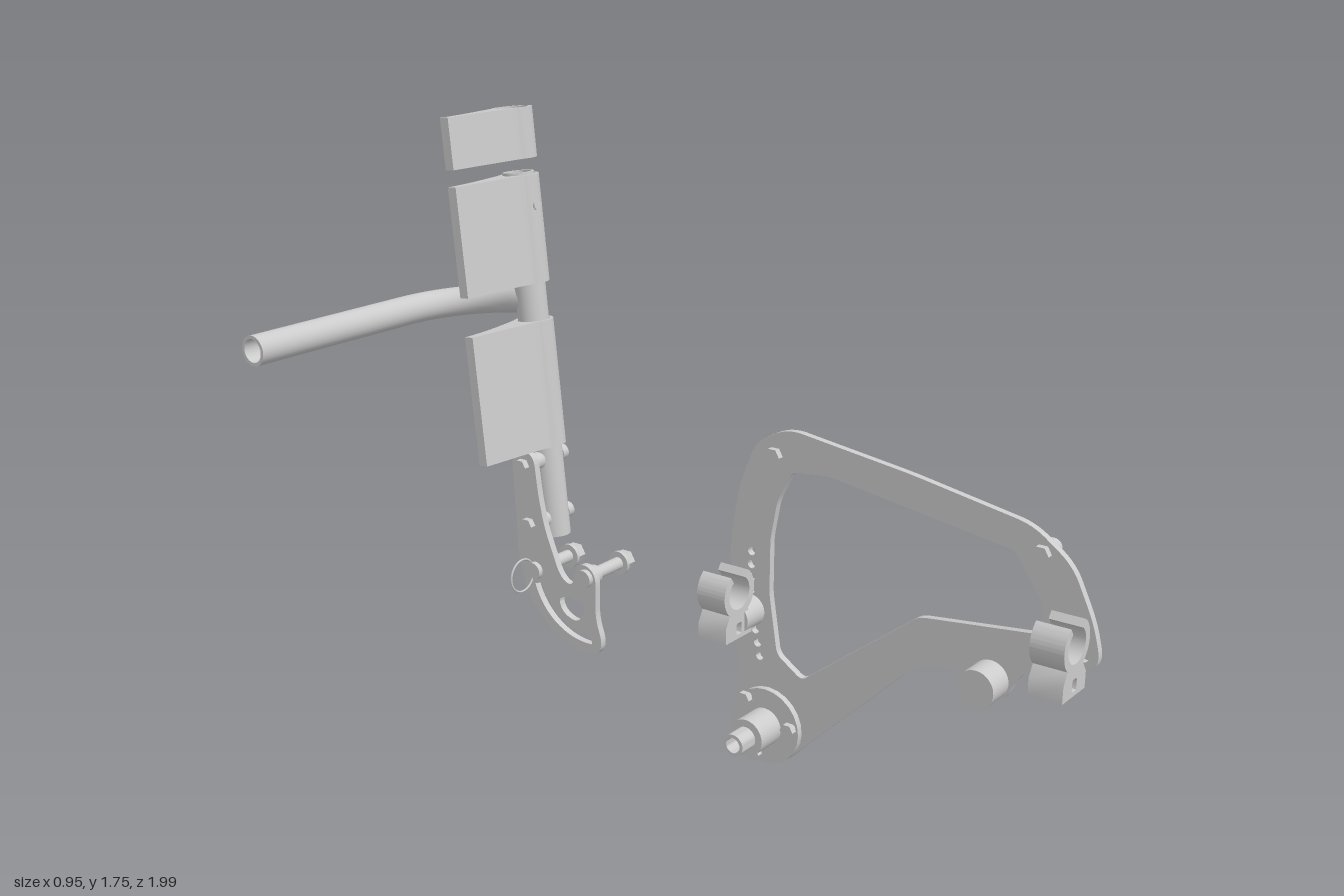
import * as THREE from 'three';
import { toCreasedNormals } from 'three/addons/utils/BufferGeometryUtils.js';

const mat = new THREE.MeshStandardMaterial({ color: 0xcccccc, side: THREE.DoubleSide });

function add(parent, geo, name) {
  const m = new THREE.Mesh(geo, mat);
  m.name = name;
  parent.add(m);
  return m;
}

// Closed polygon with every corner rounded by up to r
function rounded(pts, r, Type = THREE.Shape) {
  const s = new Type(), v = pts.map(p => new THREE.Vector2(...p)), n = v.length;
  v.forEach((p, i) => {
    const cut = q => {
      const d = q.clone().sub(p), l = d.length();
      return p.clone().addScaledVector(d, Math.min(r, l * 0.48) / l);
    };
    const a = cut(v[(i + n - 1) % n]), b = cut(v[(i + 1) % n]);
    if (i) s.lineTo(a.x, a.y); else s.moveTo(a.x, a.y);
    s.quadraticCurveTo(p.x, p.y, b.x, b.y);
  });
  s.closePath();
  return s;
}

function hole(x, y, r) {
  const p = new THREE.Path();
  p.absarc(x, y, r, 0, Math.PI * 2, true);
  return p;
}

function extrude(shape, depth, bevel = 0) {
  return toCreasedNormals(new THREE.ExtrudeGeometry(shape, {
    depth, curveSegments: 12, bevelEnabled: bevel > 0, bevelSize: bevel,
    bevelThickness: bevel, bevelOffset: -bevel, bevelSegments: 2 }), 0.6);
}

// Flat plate drawn in (z, y) between two x positions
function plate(parent, shape, x0, x1, name) {
  const g = extrude(shape, x1 - x0);
  g.rotateY(-Math.PI / 2);
  g.translate(x1, 0, 0);
  return add(parent, g, name);
}

// Cylinder along x
function rod(parent, x0, x1, y, z, r, name, sides = 24) {
  const g = new THREE.CylinderGeometry(r, r, x1 - x0, sides);
  g.rotateZ(Math.PI / 2);
  g.translate((x0 + x1) / 2, y, z);
  return add(parent, sides < 8 ? toCreasedNormals(g, 0.5) : g, name);
}

// Hollow tube along x or y: ring extruded
const ring = (ro, ri) => {
  const s = new THREE.Shape();
  s.absarc(0, 0, ro, 0, Math.PI * 2, false);
  s.holes.push(hole(0, 0, ri));
  return s;
};

function bolt(parent, x0, x1, y, z, r, name) {
  const g = new THREE.Group();
  g.name = name;
  rod(g, x0, x1 - 0.005, y, z, r * 0.5, 'boltShaft', 16);
  rod(g, x0, x0 + 0.018, y, z, r * 0.95, 'boltNut', 6);
  rod(g, x1 - 0.022, x1, y, z, r, 'boltHead');
  parent.add(g);
}

function sideFrame() {
  const g = new THREE.Group();
  g.name = 'sideFrame';
  // Side plate with a large window and adjustment holes
  const s = rounded([[0.09, 0.975], [-0.01, 0.925], [-0.06, 0.80], [-0.088, 0.65], [-0.088, 0.52],
    [-0.07, 0.335], [-0.052, 0.25], [-0.07, 0.14], [-0.06, 0.055], [0, 0], [0.09, 0], [0.155, 0.07],
    [0.495, 0.41], [0.59, 0.44], [0.66, 0.415], [0.69, 0.38], [0.75, 0.38], [0.785, 0.46],
    [0.84, 0.505], [0.955, 0.515], [1.0, 0.55], [0.975, 0.65], [0.91, 0.785], [0.80, 0.865], [0.46, 0.925]], 0.045);
  s.holes.push(rounded([[0.755, 0.79], [0.84, 0.67], [0.84, 0.59], [0.50, 0.55], [0.15, 0.275], [0.068, 0.33],
    [0.04, 0.50], [0.04, 0.66], [0.06, 0.77], [0.105, 0.86], [0.22, 0.87]], 0.02, THREE.Path));
  for (let i = 0; i < 9; i++) {
    if (i !== 4) s.holes.push(hole(i < 4 ? -0.02 : -0.02 + (i - 4) * 0.008, 0.61 - i * 0.0375, 0.012));
  }
  s.holes.push(hole(0.955, 0.56, 0.013), hole(0.72, 0.435, 0.013));
  plate(g, s, 0.4, 0.42, 'sidePlate');

  // Plate bolts
  for (const [z, y] of [[0.83, 0.80], [0.05, 0.895]]) bolt(g, 0.382, 0.455, y, z, 0.025, 'frameBolt');
  bolt(g, 0.36, 0.445, 0.46, -0.02, 0.024, 'clipBolt');
  for (const [z, y] of [[0.135, 0.135], [-0.01, 0.19], [0.025, 0.035]]) bolt(g, 0.352, 0.44, y, z, 0.022, 'axleBolt');

  // Axle housing
  const flange = new THREE.Shape();
  flange.absarc(0.045, 0.115, 0.11, 0, Math.PI * 2, false);
  plate(g, flange, 0.382, 0.4, 'axleFlange');
  rod(g, 0.29, 0.4, 0.115, 0.045, 0.053, 'axleHousing', 32);
  const sleeve = extrude(ring(0.032, 0.022), 0.25);
  sleeve.rotateY(Math.PI / 2);
  sleeve.translate(0.23, 0.115, 0.045);
  add(g, sleeve, 'axleSleeve');
  const nut = new THREE.Shape();
  for (let i = 0; i < 6; i++) {
    const a = i * Math.PI / 3;
    nut[i ? 'lineTo' : 'moveTo'](0.045 + 0.05 * Math.cos(a), 0.115 + 0.05 * Math.sin(a));
  }
  nut.holes.push(hole(0.045, 0.115, 0.025));
  rod(g, 0.42, 0.435, 0.115, 0.045, 0.058, 'axleWasher', 32);
  plate(g, nut, 0.435, 0.47, 'axleNut');

  // Front spacer and the clip spacer
  rod(g, 0.32, 0.4, 0.435, 0.71, 0.052, 'frontSpacer', 32);
  rod(g, 0.32, 0.4, 0.44, -0.02, 0.045, 'clipSpacer', 32);

  // Snap clips: open ring on a foot
  const c = new THREE.Shape(), gap = 0.62;
  c.moveTo(-0.06, 0);
  c.lineTo(0.06, 0);
  c.lineTo(0.06, 0.045);
  c.lineTo(0.04, 0.075);
  c.absarc(0, 0.13, 0.068, -0.9, Math.PI / 2 - gap, false);
  c.absarc(0, 0.13, 0.046, Math.PI / 2 - gap, Math.PI / 2 + gap, true);
  c.absarc(0, 0.13, 0.068, Math.PI / 2 + gap, Math.PI + 0.9, false);
  c.lineTo(-0.06, 0.045);
  c.closePath();
  c.holes.push(rounded([[-0.012, 0.012], [0.012, 0.012], [0.012, 0.045], [-0.012, 0.045]], 0.008, THREE.Path));
  for (const [y, z] of [[0.505, 0.893], [0.4, -0.075]]) {
    add(g, extrude(c, 0.09), 'snapClip').position.set(0.295, y, z);
  }
  return g;
}

function backPost() {
  // Local y runs up the reclined post
  const g = new THREE.Group();
  g.name = 'backPost';
  g.position.set(0.3, 0.555, -0.63);
  g.rotation.x = -0.105;
  const tube = extrude(ring(0.043, 0.035), 1.025);
  tube.rotateX(-Math.PI / 2);
  add(g, tube, 'postTube');

  // Upholstery sleeves with a flap tapering inward
  const s = new THREE.Shape();
  s.moveTo(-0.262, -0.014);
  s.bezierCurveTo(-0.17, -0.026, -0.1, -0.03, -0.03, -0.046);
  s.absarc(0, 0, 0.055, -2.15, 2.15, false);
  s.bezierCurveTo(-0.1, 0.03, -0.17, 0.012, -0.262, 0.014);
  s.closePath();
  s.holes.push(hole(0, 0, 0.045));
  for (const [y0, y1] of [[0.265, 0.62], [0.725, 1.018], [1.062, 1.197]]) {
    const b = extrude(s, y1 - y0);
    b.rotateX(-Math.PI / 2);
    b.translate(0, y0, 0);
    add(g, b, 'upholsterySleeve');
  }

  // Screws fixing the upholstery from behind
  for (const y of [0.935, 1.125]) {
    const k = new THREE.CylinderGeometry(0.018, 0.022, 0.022, 20);
    k.rotateX(-Math.PI / 2);
    add(g, k, 'upholsteryScrew').position.set(0, y, -0.06);
  }
  const end = new THREE.CylinderGeometry(0.014, 0.014, 0.01, 16);
  end.rotateX(Math.PI / 2);
  add(g, end, 'screwEnd').position.set(0, 0.935, 0.053);
  return g;
}

function pushHandle() {
  // Bent tube leaving the post rearward and running inward
  const V = (x, y, z) => new THREE.Vector3(x, y, z);
  const path = new THREE.CurvePath();
  path.add(new THREE.LineCurve3(V(0.3, 1.228, -0.7), V(0.297, 1.222, -0.76)));
  path.add(new THREE.CubicBezierCurve3(V(0.297, 1.222, -0.76), V(0.285, 1.208, -0.88), V(0.2, 1.2, -0.96), V(0.07, 1.2, -0.96)));
  path.add(new THREE.LineCurve3(V(0.07, 1.2, -0.96), V(-0.475, 1.2, -0.96)));
  const g = new THREE.Group();
  g.name = 'pushHandle';
  add(g, new THREE.TubeGeometry(path, 60, 0.04, 24), 'handleTube');
  const rim = new THREE.RingGeometry(0.031, 0.04, 24);
  rim.rotateY(-Math.PI / 2);
  add(g, rim, 'handleRim').position.set(-0.475, 1.2, -0.96);
  const bore = new THREE.CylinderGeometry(0.031, 0.031, 0.4, 24, 1, true);
  bore.rotateZ(Math.PI / 2);
  add(g, bore, 'handleBore').position.set(-0.275, 1.2, -0.96);
  return g;
}

function recliner() {
  const g = new THREE.Group();
  g.name = 'reclineBracket';
  const cz = -0.437, cy = 0.495;
  // Curved bracket with a window and an arc slot around the pivot
  const s = rounded([[-0.62, 0.815], [-0.605, 0.70], [-0.585, 0.61], [-0.53, 0.475], [-0.485, 0.455], [-0.475, 0.52],
    [-0.44, 0.535], [-0.402, 0.51], [-0.405, 0.38], [-0.38, 0.31], [-0.40, 0.27], [-0.49, 0.27], [-0.58, 0.315],
    [-0.655, 0.40], [-0.685, 0.51], [-0.69, 0.64], [-0.70, 0.80], [-0.67, 0.82]], 0.035);
  s.holes.push(rounded([[-0.435, 0.415], [-0.54, 0.42], [-0.525, 0.37], [-0.465, 0.35]], 0.03, THREE.Path));
  const slot = new THREE.Path(), a0 = Math.PI * 1.10, a1 = Math.PI * 1.53, R = 0.185;
  const N = 48;
  for (let i = 0; i <= N; i++) {
    const a = a0 + (a1 - a0) * i / N, r = R + 0.011;
    slot[i ? 'lineTo' : 'moveTo'](cz + r * Math.cos(a), cy + r * Math.sin(a));
  }
  // Inner edge is scalloped into indexing notches
  for (let i = N; i >= 0; i--) {
    const a = a0 + (a1 - a0) * i / N, r = R - 0.009 - 0.007 * Math.abs(Math.sin(i / N * Math.PI * 6));
    slot.lineTo(cz + r * Math.cos(a), cy + r * Math.sin(a));
  }
  slot.closePath();
  s.holes.push(slot);
  plate(g, s, 0.2, 0.22, 'bracketPlate');

  // Bolts clamping the bracket to the post
  for (const [y, z] of [[0.78, -0.653], [0.61, -0.636]]) {
    bolt(g, 0.178, 0.365, y, z, 0.022, 'postBolt');
    rod(g, 0.22, 0.262, y, z, 0.024, 'postSpacer');
  }
  // Pivot bolt and index pin
  for (const [y, z] of [[cy, cz], [0.475, -0.62]]) {
    rod(g, 0.19, 0.38, y, z, 0.018, 'pivotShaft');
    rod(g, 0.185, 0.2, y, z, 0.025, 'pivotEnd');
    rod(g, 0.22, 0.24, y, z, 0.027, 'pivotCollar');
    rod(g, 0.342, 0.352, y, z, 0.034, 'pivotWasher', 32);
    rod(g, 0.352, 0.382, y, z, 0.03, 'pivotHead', 6);
  }
  // Pull ring
  add(g, new THREE.TorusGeometry(0.047, 0.003, 8, 40), 'pullRing').position.set(0.145, 0.475, -0.622);
  return g;
}

export function createModel() {
  const model = new THREE.Group();
  model.name = 'chairSideAssembly';
  model.add(sideFrame(), backPost(), pushHandle(), recliner());
  return model;
}
